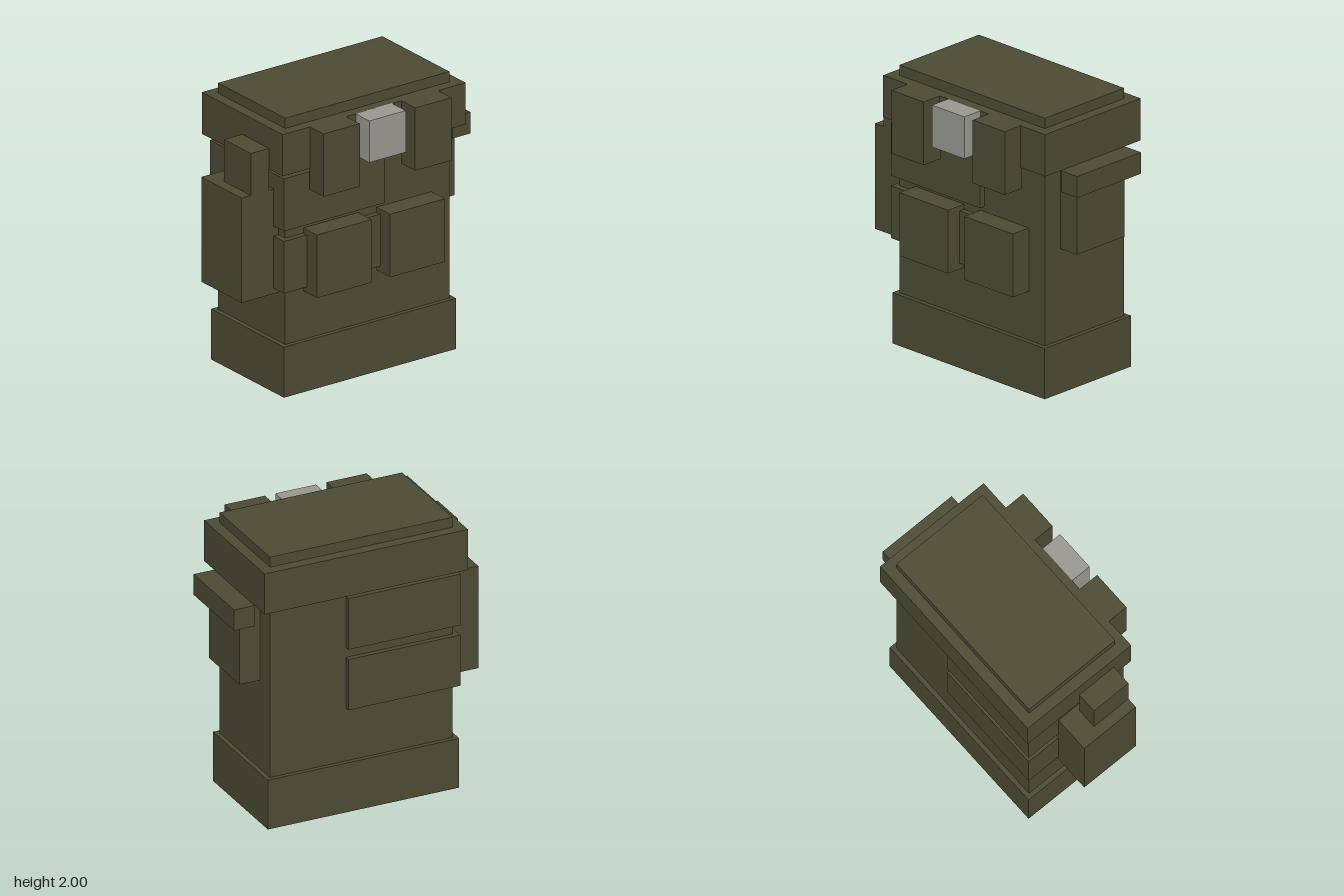
import * as THREE from 'three';

export function createModel() {
  const group = new THREE.Group();
  const olive = new THREE.MeshStandardMaterial({ color: 0x4b4a33 });
  olive.name = 'olive canvas';
  const grey = new THREE.MeshStandardMaterial({ color: 0x97978f });
  grey.name = 'grey metal';

  // Box given by its extents along each axis
  function block(name, [x0, x1], [y0, y1], [z0, z1], material = olive) {
    const mesh = new THREE.Mesh(new THREE.BoxGeometry(x1 - x0, y1 - y0, z1 - z0), material);
    mesh.position.set((x0 + x1) / 2, (y0 + y1) / 2, (z0 + z1) / 2);
    mesh.name = name;
    group.add(mesh);
  }

  // Main pack: base, body rising through the lid, and lid
  block('base', [-0.677, 0.747], [0, 0.365], [-0.485, 0.335]);
  block('body', [-0.643, 0.715], [0.3, 2], [-0.453, 0.302]);
  block('lid', [-0.72, 0.793], [1.625, 1.926], [-0.53, 0.378]);

  // Bands wrapped around the right half
  block('upperBand', [-0.683, 0.15], [1.206, 1.585], [-0.49, 0.343]);
  block('lowerBand', [-0.683, 0.15], [0.757, 1.133], [-0.49, 0.343]);

  // Front flaps, buckle and pouches
  for (const x of [-0.493, 0.265]) {
    block('lidFlap', [x, x + 0.3], [1.472, 1.926], [0.37, 0.53]);
  }
  block('buckle', [-0.115, 0.187], [1.625, 1.926], [0.37, 0.53], grey);
  for (const x of [-0.493, 0.113]) {
    block('frontPouch', [x, x + 0.453], [0.715, 1.17], [0.29, 0.455]);
  }

  // Right side: tall pocket with a bottle neck
  block('rightPocket', [-0.947, -0.64], [0.715, 1.472], [-0.228, 0.225]);
  block('bottleNeck', [-0.87, -0.72], [1.472, 1.775], [-0.077, 0.225]);

  // Left side: pocket with an overhanging flap
  block('leftPocket', [0.71, 0.868], [1.02, 1.624], [-0.3, 0.153]);
  block('leftPocketFlap', [0.793, 0.945], [1.472, 1.625], [-0.378, 0.228]);

  return group;
}
